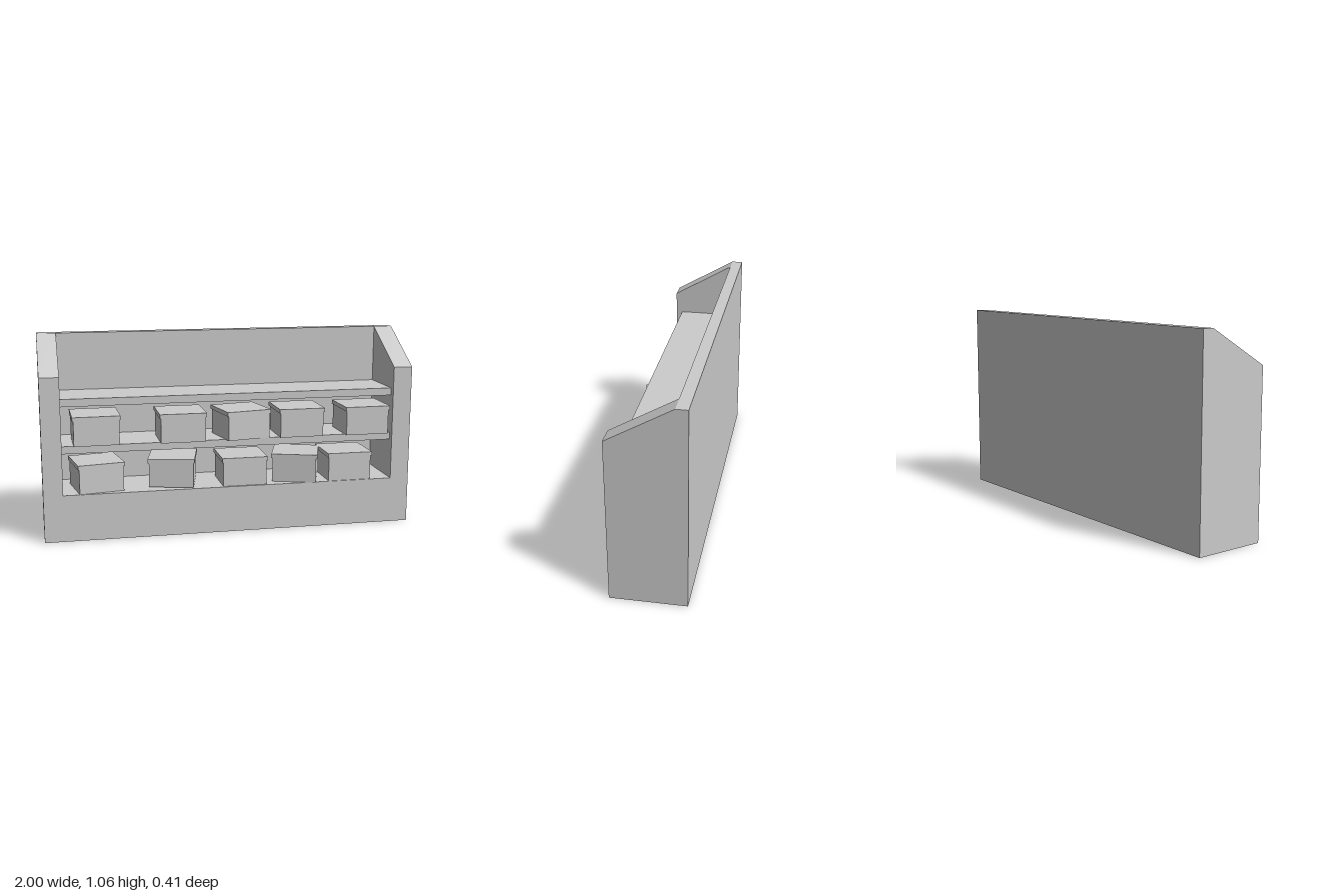
import * as THREE from 'three';

const FRONT = 0.185, BACK = -0.205, WALL = -0.145; // depth of front, back and inner back wall
const INNER = 0.897, FLOOR = 0.25, SHOULDER = 0.87, TOP = 1.06;

const solid = new THREE.MeshStandardMaterial({ color: 0xcccccc, flatShading: true });
const thin = new THREE.MeshStandardMaterial({ color: 0xcccccc, flatShading: true, side: THREE.DoubleSide });

// Flat convex panel from corners in anticlockwise order
function panel(name, corners) {
  const points = [];
  for (let i = 1; i < corners.length - 1; i++) {
    points.push(...corners[0], ...corners[i], ...corners[i + 1]);
  }
  const geometry = new THREE.BufferGeometry();
  geometry.setAttribute('position', new THREE.Float32BufferAttribute(points, 3));
  geometry.computeVertexNormals();
  const mesh = new THREE.Mesh(geometry, thin);
  mesh.name = name;
  return mesh;
}

// Panel facing +z, from opposite corners
const facing = (name, x0, x1, y0, y1, z) =>
  panel(name, [[x0, y0, z], [x1, y0, z], [x1, y1, z], [x0, y1, z]]);

function box(name, w, h, d, x, y, z) {
  const mesh = new THREE.Mesh(new THREE.BoxGeometry(w, h, d), solid);
  mesh.name = name;
  mesh.position.set(x, y + h / 2, z);
  return mesh;
}

// Hollow case, open underneath
function createCase() {
  const shell = new THREE.Group();
  shell.name = 'case';
  shell.add(
    facing('frontPlinth', -1, 1, 0, FLOOR, FRONT),
    facing('innerBackWall', -INNER, INNER, FLOOR, TOP, WALL),
    panel('backWall', [[1, 0, BACK], [-1, 0, BACK], [-1, TOP, BACK], [1, TOP, BACK]]),
    panel('topEdge', [[-1, TOP, WALL], [1, TOP, WALL], [1, TOP, BACK], [-1, TOP, BACK]]),
    panel('floor', [[-INNER, FLOOR, FRONT], [INNER, FLOOR, FRONT], [INNER, FLOOR, WALL], [-INNER, FLOOR, WALL]])
  );
  for (const s of [1, -1]) {
    const side = s > 0 ? 'left' : 'right';
    const order = (corners) => (s > 0 ? corners : corners.reverse());
    const a = Math.min(s, s * INNER), b = Math.max(s, s * INNER);
    shell.add(
      facing(side + 'FrontPost', a, b, FLOOR, SHOULDER, FRONT),
      panel(side + 'Slope', [[a, SHOULDER, FRONT], [b, SHOULDER, FRONT], [b, TOP, WALL], [a, TOP, WALL]]),
      panel(side + 'OuterSide', order([
        [s, 0, FRONT], [s, 0, BACK], [s, TOP, BACK], [s, TOP, WALL], [s, SHOULDER, FRONT]
      ])),
      panel(side + 'InnerSide', order([
        [s * INNER, FLOOR, FRONT], [s * INNER, SHOULDER, FRONT], [s * INNER, TOP, WALL], [s * INNER, FLOOR, WALL]
      ]))
    );
  }
  return shell;
}

// Square storage box with an overhanging lid
function createStorageBox(x, y, z, turn) {
  const group = new THREE.Group();
  group.name = 'storageBox';
  group.add(
    box('boxBody', 0.238, 0.133, 0.238, 0, 0, 0),
    box('boxLid', 0.25, 0.022, 0.25, 0, 0.133, 0)
  );
  group.position.set(x, y, z);
  group.rotation.y = turn;
  return group;
}

export function createModel() {
  const model = new THREE.Group();
  model.name = 'shelfUnit';
  model.add(createCase());

  // Two shelves, set back from the front edge
  const depth = 0.15 - WALL;
  model.add(
    box('lowerShelf', INNER * 2, 0.04, depth, 0, 0.463, 0.15 - depth / 2),
    box('upperShelf', INNER * 2, 0.04, depth, 0, 0.711, 0.15 - depth / 2)
  );

  // Storage boxes: x, y, z, turn
  const boxes = [
    [-0.714, FLOOR, 0.045, 0.17],
    [-0.3, FLOOR + 0.005, 0.035, -0.22],
    [0.072, FLOOR, 0.055, 0],
    [0.387, FLOOR, 0.047, -0.325],
    [0.66, FLOOR, 0.06, 0],
    [-0.717, 0.503, 0.047, 0.02],
    [-0.262, 0.503, 0.06, 0],
    [0.072, 0.503, 0.053, 0.195],
    [0.388, 0.503, 0.05, 0],
    [0.755, 0.503, 0.06, 0.01]
  ];
  for (const b of boxes) model.add(createStorageBox(...b));
  return model;
}
